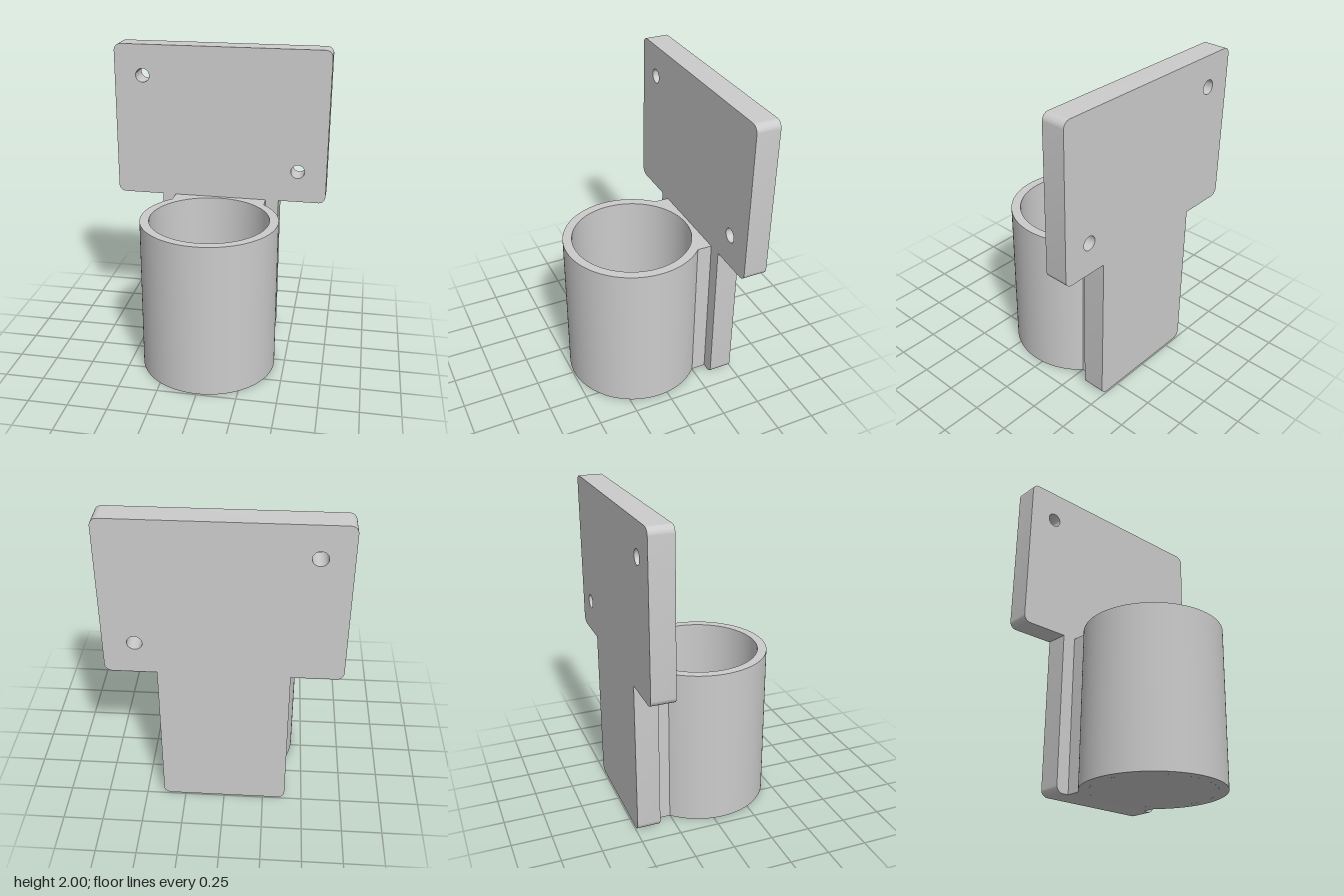
import * as THREE from 'three';
import { toCreasedNormals } from 'three/addons/utils/BufferGeometryUtils.js';

const material = new THREE.MeshStandardMaterial({ color: 0xcccccc });

function addPart(group, name, geometry) {
  const mesh = new THREE.Mesh(geometry, material);
  mesh.name = name;
  group.add(mesh);
  return mesh;
}

function extrude(shape, depth, curveSegments) {
  const geometry = new THREE.ExtrudeGeometry(shape, { depth, curveSegments, bevelEnabled: false });
  return toCreasedNormals(geometry, Math.PI / 6);
}

function circlePath(x, y, radius) {
  return new THREE.Path().absarc(x, y, radius, 0, Math.PI * 2, true);
}

export function createModel() {
  const group = new THREE.Group();
  const height = 1;
  const plateFront = -0.345, plateBack = -0.493;

  // T-shaped back plate: wide rounded panel on a narrower stem, with two screw holes
  const w = 0.697, stem = 0.39, r = 0.045;
  const plate = new THREE.Shape();
  plate.moveTo(-stem + r, 0);
  plate.absarc(stem - r, r, r, -Math.PI / 2, 0);
  plate.lineTo(stem, height);
  plate.absarc(w - r, height + r, r, -Math.PI / 2, 0);
  plate.absarc(w - r, 2 - r, r, 0, Math.PI / 2);
  plate.absarc(-w + r, 2 - r, r, Math.PI / 2, Math.PI);
  plate.absarc(-w + r, height + r, r, Math.PI, Math.PI * 1.5);
  plate.lineTo(-stem, height);
  plate.absarc(-stem + r, r, r, Math.PI, Math.PI * 1.5);
  plate.holes.push(circlePath(-0.513, 1.8, 0.045), circlePath(0.51, 1.207, 0.045));
  addPart(group, 'backPlate', extrude(plate, plateFront - plateBack, 16)).position.z = plateBack;

  // Round cup wall with a straight neck joining it to the plate (drawn with y as -z)
  const outer = 0.434, inner = 0.377, centre = 0.057, neck = 0.305;
  const angle = Math.acos(neck / outer);
  const wall = new THREE.Shape();
  wall.moveTo(neck, -plateFront);
  wall.lineTo(-neck, -plateFront);
  wall.absarc(0, -centre, outer, Math.PI - angle, Math.PI * 2 + angle);
  wall.closePath();
  wall.holes.push(circlePath(0, -centre, inner));
  addPart(group, 'cupWall', extrude(wall, height, 72).rotateX(-Math.PI / 2));

  // Floor closing the bottom of the cup
  const floor = 0.06;
  addPart(group, 'cupFloor', new THREE.CylinderGeometry(inner, inner, floor, 72))
    .position.set(0, floor / 2, centre);

  return group;
}
